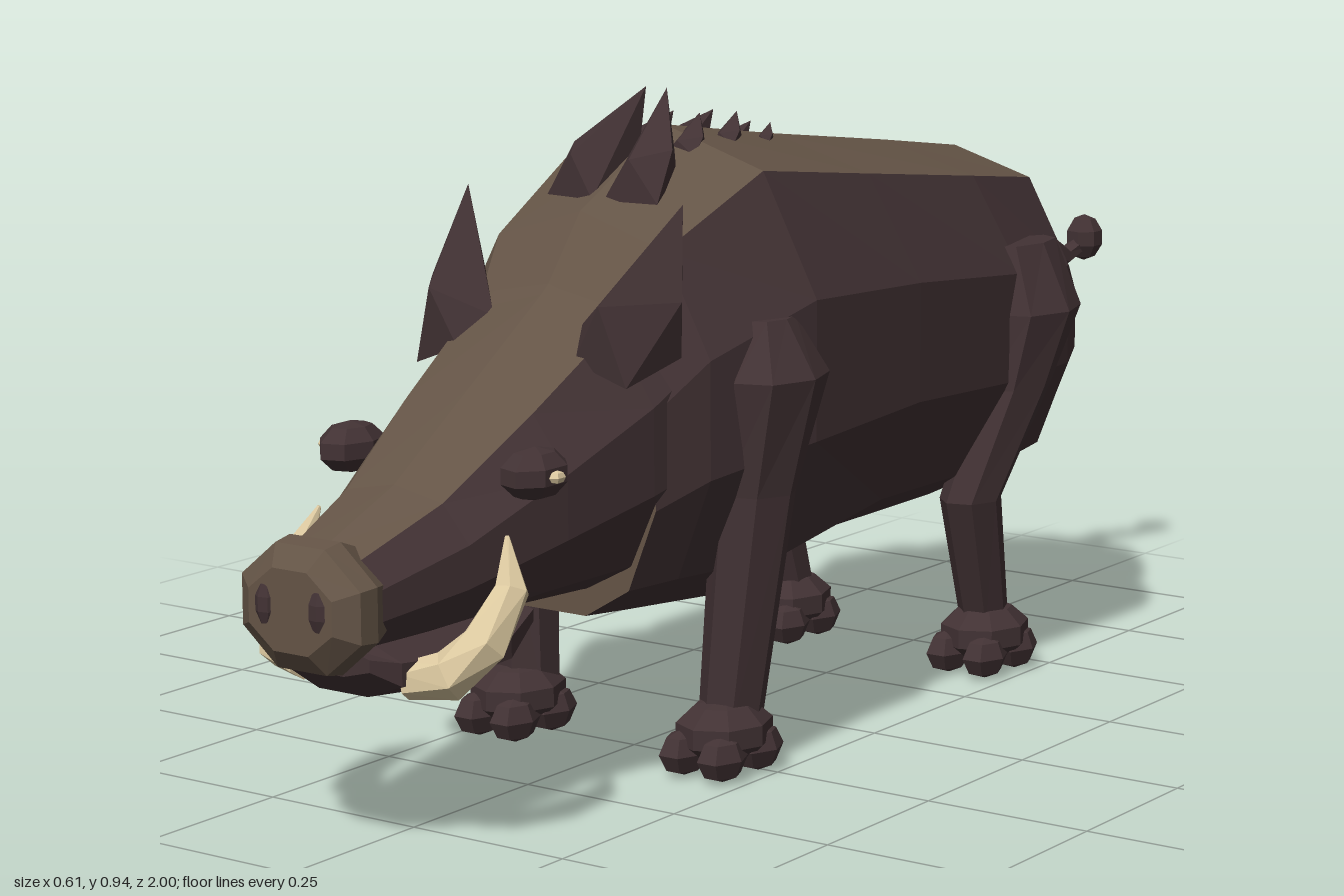
import * as THREE from 'three';
import { ConvexGeometry } from 'three/addons/geometries/ConvexGeometry.js';

const V = (x, y, z) => new THREE.Vector3(x, y, z);

function material(name, color) {
  const m = new THREE.MeshStandardMaterial({ color, flatShading: true });
  m.name = name;
  return m;
}

// Skin between rings of points; pick(i, j) returns the material index of a panel
function loft(rings, pick = () => 0) {
  const buckets = [[], []];
  const n = rings[0].length;
  for (let i = 0; i < rings.length - 1; i++) {
    for (let j = 0; j < n; j++) {
      const k = (j + 1) % n;
      const a = rings[i][j], b = rings[i][k], c = rings[i + 1][k], d = rings[i + 1][j];
      buckets[pick(i, j)].push(a, b, c, a, c, d);
    }
  }
  const first = rings[0], last = rings[rings.length - 1];
  for (let j = 1; j < n - 1; j++) {
    buckets[0].push(first[0], first[j + 1], first[j], last[0], last[j], last[j + 1]);
  }
  const g = new THREE.BufferGeometry().setFromPoints([...buckets[0], ...buckets[1]]);
  g.addGroup(0, buckets[0].length, 0);
  if (buckets[1].length) g.addGroup(buckets[0].length, buckets[1].length, 1);
  g.computeVertexNormals();
  return g;
}

// Barrel-shaped section of the body and head
const HALF = [[0.65, 0.92], [1, 0.66], [1, 0.36], [0.75, 0.1], [0.35, 0]];
function section([z, top, bottom, w]) {
  const p = (fx, fy) => V(fx * w, bottom + fy * (top - bottom), z);
  return [p(0, 1), ...HALF.map(([x, y]) => p(-x, y)), ...HALF.slice().reverse().map(([x, y]) => p(x, y))];
}

// Horizontal ellipse for the legs
function legRing([y, x, z, rx, rz]) {
  return Array.from({ length: 7 }, (_, i) => {
    const a = (i / 7) * Math.PI * 2;
    return V(x + Math.cos(a) * rx, y, z - Math.sin(a) * rz);
  });
}

// Upright octagon for the snout and jaw
function discRing([z, y, rx, ry]) {
  return Array.from({ length: 8 }, (_, i) => {
    const a = ((i + 0.5) / 8) * Math.PI * 2;
    return V(Math.cos(a) * rx * 1.08, y + Math.sin(a) * ry * 1.08, z);
  });
}

// Tapering tube along a path
function taper(path, radii, sides, ref) {
  return loft(path.map((p, i) => {
    const t = path[Math.min(i + 1, path.length - 1)].clone().sub(path[Math.max(i - 1, 0)]).normalize();
    const u = t.clone().cross(ref).normalize();
    const v = t.clone().cross(u);
    return Array.from({ length: sides }, (_, k) => {
      const a = (k / sides) * Math.PI * 2;
      return p.clone().addScaledVector(u, Math.cos(a) * radii[i]).addScaledVector(v, Math.sin(a) * radii[i]);
    });
  }));
}

function ball(x, y, z, rx, ry, rz, w = 7, h = 5) {
  return new THREE.SphereGeometry(1, w, h).scale(rx, ry, rz).translate(x, y, z);
}

// Copy to the other side of x = 0, keeping faces outward
function mirrored(geometry) {
  const g = geometry.index ? geometry.toNonIndexed() : geometry.clone();
  g.scale(-1, 1, 1);
  const p = g.attributes.position;
  for (let i = 0; i < p.count; i += 3) {
    const b = V().fromBufferAttribute(p, i + 1), c = V().fromBufferAttribute(p, i + 2);
    p.setXYZ(i + 1, c.x, c.y, c.z);
    p.setXYZ(i + 2, b.x, b.y, b.z);
  }
  g.computeVertexNormals();
  return g;
}

export function createModel() {
  const model = new THREE.Group();
  model.name = 'boar';
  const brown = material('brownHide', 0x645446);
  const dark = material('darkHide', 0x423234);
  const ivory = material('ivory', 0xdcc9a0);

  const add = (name, geometry, mat) => {
    const m = new THREE.Mesh(geometry, mat);
    m.name = name;
    model.add(m);
  };
  const pair = (name, geometry, mat) => {
    add(name + 'Left', geometry, mat);
    add(name + 'Right', mirrored(geometry), mat);
  };

  // Body: brown back and rump, dark flanks and belly
  const body = [
    [-0.77, 0.64, 0.34, 0.13], [-0.61, 0.78, 0.27, 0.21], [-0.4, 0.81, 0.265, 0.25],
    [-0.1, 0.85, 0.265, 0.26], [0.17, 0.89, 0.22, 0.26], [0.37, 0.79, 0.235, 0.22], [0.45, 0.69, 0.24, 0.185],
  ];
  add('body', loft(body.map(section), (i, j) => ([0, 1, 10].includes(j) ? 0 : 1)), [brown, dark]);

  // Head: long wedge with one dark cheek
  const head = [
    [0.34, 0.78, 0.27, 0.2], [0.46, 0.685, 0.28, 0.19], [0.62, 0.58, 0.285, 0.165],
    [0.78, 0.475, 0.28, 0.125], [0.93, 0.415, 0.28, 0.09],
  ];
  add('head', loft(head.map(section), (i, j) => ([0, 1, 2, 10].includes(j) ? 0 : 1)), [brown, dark]);

  // Snout, nostrils and lower jaw
  add('snout', loft([[0.89, 0.345, 0.08, 0.07], [0.94, 0.345, 0.103, 0.088], [0.97, 0.345, 0.1, 0.083],
    [0.992, 0.345, 0.07, 0.055]].map(discRing)), brown);
  pair('nostril', ball(0.045, 0.35, 0.985, 0.018, 0.032, 0.014), dark);
  add('jaw', loft([[0.6, 0.275, 0.09, 0.02], [0.68, 0.25, 0.115, 0.035], [0.8, 0.248, 0.115, 0.04],
    [0.89, 0.255, 0.1, 0.038], [0.925, 0.27, 0.075, 0.02]].map(discRing)), dark);

  // Eyes with small pale glints
  pair('eye', ball(0.157, 0.492, 0.68, 0.041, 0.036, 0.058), dark);
  pair('eyeGlint', ball(0.197, 0.492, 0.685, 0.01, 0.009, 0.014, 5, 4), ivory);

  // Tusks
  pair('tusk', taper(
    [V(0.085, 0.24, 0.865), V(0.14, 0.25, 0.845), V(0.172, 0.29, 0.81), V(0.183, 0.355, 0.765), V(0.16, 0.42, 0.745)],
    [0.025, 0.034, 0.034, 0.024, 0.003], 6, V(0, 0, 1)), ivory);

  // Ears
  pair('ear', new ConvexGeometry([
    V(0.185, 0.815, 0.385), V(0.075, 0.65, 0.47), V(0.1, 0.61, 0.52), V(0.18, 0.58, 0.51),
    V(0.215, 0.69, 0.43), V(0.145, 0.69, 0.525), V(0.14, 0.65, 0.39), V(0.2, 0.61, 0.41),
  ]), dark);

  // Mane: tufts shrinking along the spine
  const tuft = [[0.018, 0.115, -0.08], [0.01, -0.03, 0.06], [0.095, -0.03, 0.05],
    [0.085, 0.04, 0], [0.05, 0, -0.06], [0.05, 0.03, 0.055], [0.012, 0, -0.05]];
  [[0.27, 0.83, 1], [0.165, 0.862, 0.6], [0.06, 0.863, 0.48], [-0.045, 0.85, 0.3]].forEach(([z, y, s], i) => {
    const inset = i ? 0.012 : 0;
    pair('maneTuft' + (i + 1), new ConvexGeometry(tuft.map(p =>
      V(p[0] * s + inset, y + p[1] * s * (i ? 0.6 : 1), z + p[2] * s))), dark);
  });

  // Tail with a tuft
  add('tail', taper([V(0, 0.615, -0.73), V(0, 0.61, -0.84), V(0.02, 0.565, -0.92), V(0.03, 0.585, -0.96)],
    [0.03, 0.025, 0.017, 0.014], 6, V(1, 0, 0)), dark);
  add('tailTuft', ball(0.03, 0.592, -0.968, 0.031, 0.038, 0.032, 7, 5), dark);

  // Legs, from the ankle up
  pair('frontLeg', loft([[0.07, 0.18, 0.265, 0.045, 0.05], [0.4, 0.21, 0.25, 0.06, 0.062],
    [0.565, 0.243, 0.24, 0.062, 0.09], [0.645, 0.232, 0.24, 0.025, 0.045]].map(legRing)), dark);
  pair('backLeg', loft([[0.07, 0.18, -0.42, 0.036, 0.042], [0.28, 0.192, -0.355, 0.045, 0.055],
    [0.45, 0.225, -0.42, 0.055, 0.07], [0.565, 0.243, -0.45, 0.062, 0.095],
    [0.665, 0.22, -0.455, 0.035, 0.075]].map(legRing)), dark);

  // Feet with four toes
  [['frontFoot', 0.285], ['backFoot', -0.415]].forEach(([name, z]) => {
    pair(name, ball(0.183, 0.06, z, 0.068, 0.047, 0.08, 8, 5), dark);
    [[0.15, 0.05], [0.215, 0.05], [0.22, -0.03], [0.145, -0.03]].forEach(([x, dz], i) =>
      pair(name + 'Toe' + (i + 1), ball(x, 0.034, z + dz, 0.032, 0.034, 0.046, 6, 4), dark));
  });

  return model;
}
